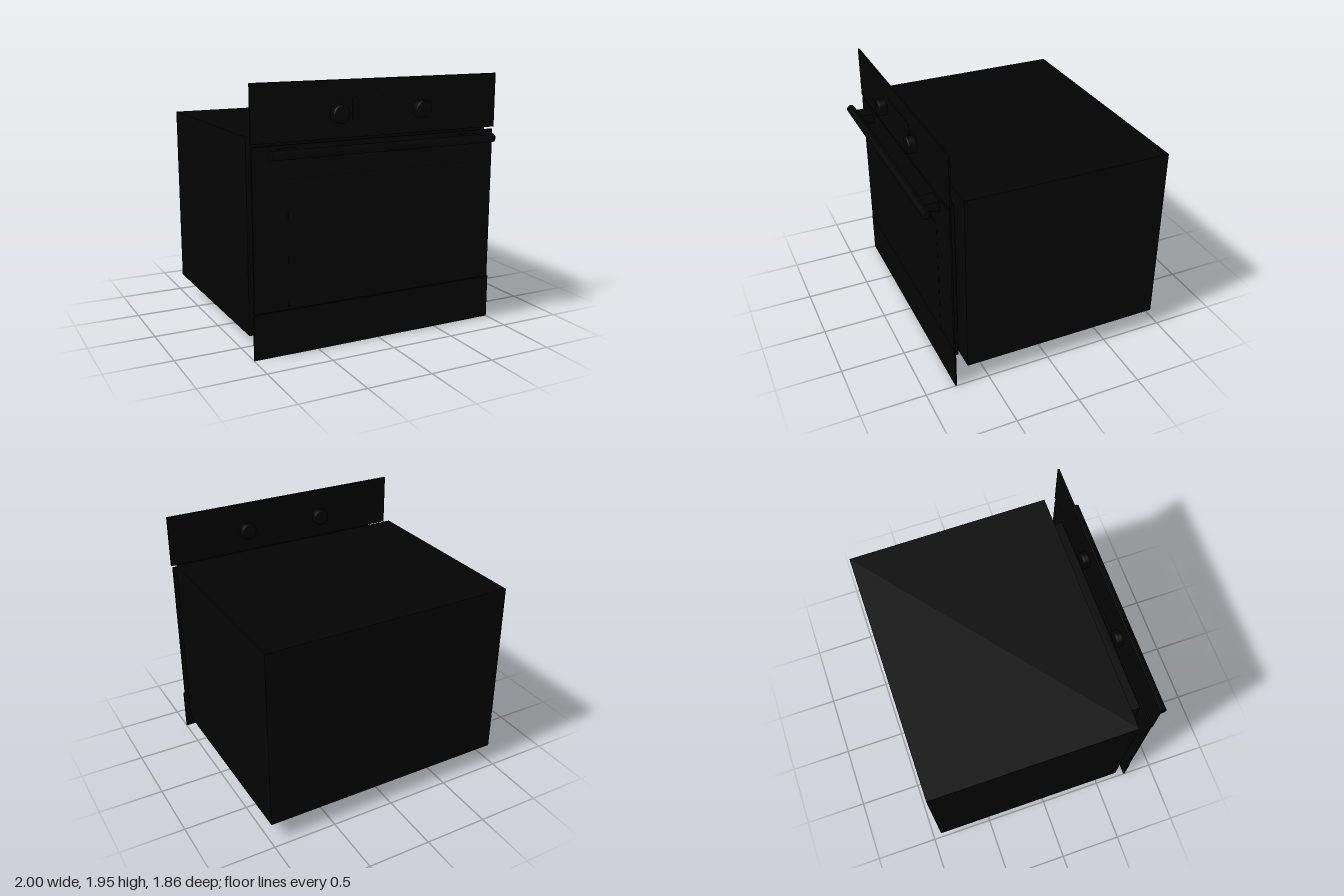
import * as THREE from 'three';
import { RoundedBoxGeometry } from 'three/addons/geometries/RoundedBoxGeometry.js';

const black = new THREE.MeshStandardMaterial({ color: 0x030303 });

export function createModel() {
  const oven = new THREE.Group();
  oven.name = 'builtInOven';

  const add = (name, geometry) => {
    const mesh = new THREE.Mesh(geometry, black);
    mesh.name = name;
    oven.add(mesh);
    return mesh;
  };
  // Box given by its limits on each axis
  const box = (name, x0, x1, y0, y1, z0, z1, radius = 0) => {
    const size = [x1 - x0, y1 - y0, z1 - z0];
    const geometry = radius
      ? new RoundedBoxGeometry(...size, 2, radius)
      : new THREE.BoxGeometry(...size);
    add(name, geometry).position.set((x0 + x1) / 2, (y0 + y1) / 2, (z0 + z1) / 2);
  };

  // Cabinet and the inner part of the door
  box('cabinet', -0.993, 0.988, 0.15, 1.575, -0.93, 0.663);
  box('innerDoor', -0.82, 0.815, 0.12, 1.455, 0.668, 0.757);

  // Front plates
  box('doorPlate', -0.995, 0.99, 0.34, 1.52, 0.755, 0.769, 0.004);
  box('doorWindow', -0.73, 0.73, 0.345, 1.28, 0.76, 0.7705);
  box('lowerPlate', -1, 1, 0, 0.338, 0.755, 0.77, 0.004);
  box('controlPanel', -1, 1, 1.535, 1.945, 0.755, 0.77, 0.004);
  box('display', -0.23, 0.23, 1.6, 1.82, 0.76, 0.772);

  // Control knobs with rounded rims, passing through the panel
  const knobProfile = [
    [0, -0.06], [0.055, -0.06], [0.062, -0.057], [0.066, -0.049],
    [0.066, 0.049], [0.062, 0.057], [0.055, 0.06], [0, 0.06],
  ].map(([r, h]) => new THREE.Vector2(r, h));
  const knobGeometry = new THREE.LatheGeometry(knobProfile, 40).rotateX(Math.PI / 2);
  for (const x of [-0.34, 0.33]) {
    add('knob', knobGeometry).position.set(x, 1.71, 0.77);
  }

  // Handle: bar with softened ends
  const barProfile = [
    [0, -0.906], [0.028, -0.906], [0.033, -0.9],
    [0.033, 0.9], [0.028, 0.906], [0, 0.906],
  ].map(([r, h]) => new THREE.Vector2(r, h));
  const bar = add('handleBar', new THREE.LatheGeometry(barProfile, 32).rotateZ(Math.PI / 2));
  bar.position.set(-0.003, 1.473, 0.895);

  // Handle brackets: tapered side profile (z, y) extruded along x
  const bracket = new THREE.Shape();
  bracket.moveTo(0.762, 1.412);
  bracket.lineTo(0.89, 1.448);
  bracket.lineTo(0.89, 1.497);
  bracket.lineTo(0.762, 1.497);
  bracket.closePath();
  const bracketGeometry = new THREE.ExtrudeGeometry(bracket, { depth: 0.134, bevelEnabled: false })
    .translate(0, 0, -0.067)
    .rotateY(-Math.PI / 2);
  bracketGeometry.computeVertexNormals();
  for (const x of [-0.745, 0.735]) {
    add('handleBracket', bracketGeometry).position.x = x;
  }

  return oven;
}
